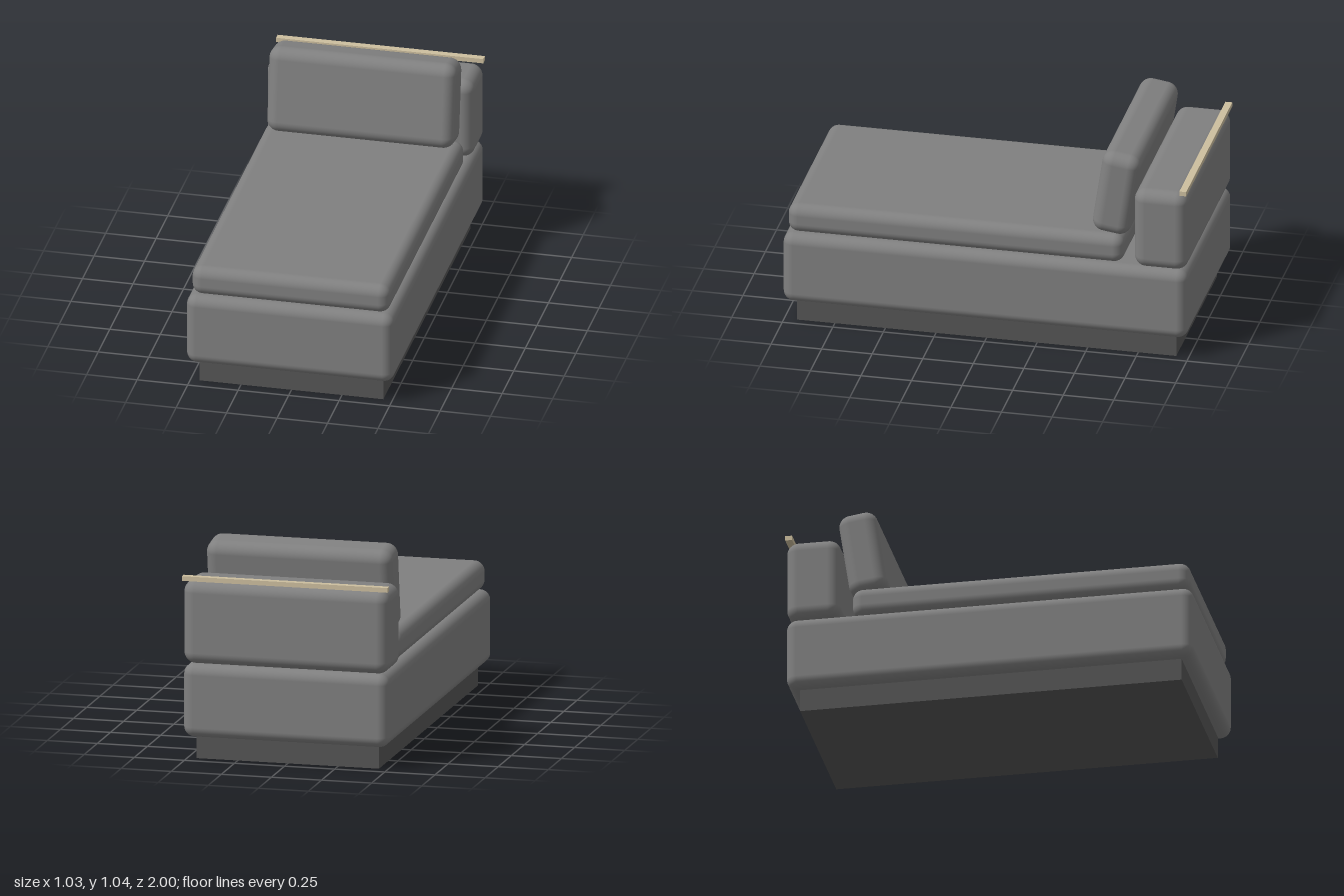
import * as THREE from 'three';
import { RoundedBoxGeometry } from 'three/addons/geometries/RoundedBoxGeometry.js';

const material = (color) => new THREE.MeshStandardMaterial({ color });

export function createModel() {
  const group = new THREE.Group();
  const fabric = material(0x808080);
  const dark = material(0x555555);
  const wood = material(0xcdbf9f);

  const add = (name, geometry, mat, y, z) => {
    const mesh = new THREE.Mesh(geometry, mat);
    mesh.name = name;
    mesh.position.set(0, y, z);
    group.add(mesh);
    return mesh;
  };
  const cushion = (name, w, h, d, r, y, z) =>
    add(name, new RoundedBoxGeometry(w, h, d, 6, r), fabric, y, z);

  // Recessed plinth
  add('plinth', new THREE.BoxGeometry(0.91, 0.115, 1.876), dark, 0.0575, 0);

  // Upholstered base and seat mattress
  cushion('base', 1.026, 0.363, 2, 0.052, 0.2925, 0);
  cushion('seatCushion', 0.98, 0.146, 1.66, 0.052, 0.547, 0.15);

  // Back bolster and the pillow leaning against it
  cushion('backRest', 1.026, 0.412, 0.265, 0.058, 0.68, -0.8675);
  const pillow = cushion('backPillow', 0.93, 0.43, 0.19, 0.058, 0.826, -0.635);
  pillow.rotation.x = -0.15;

  // Thin wooden rail above the rear edge
  add('backRail', new THREE.BoxGeometry(1.026, 0.023, 0.034), wood, 0.899, -0.983);

  return group;
}
